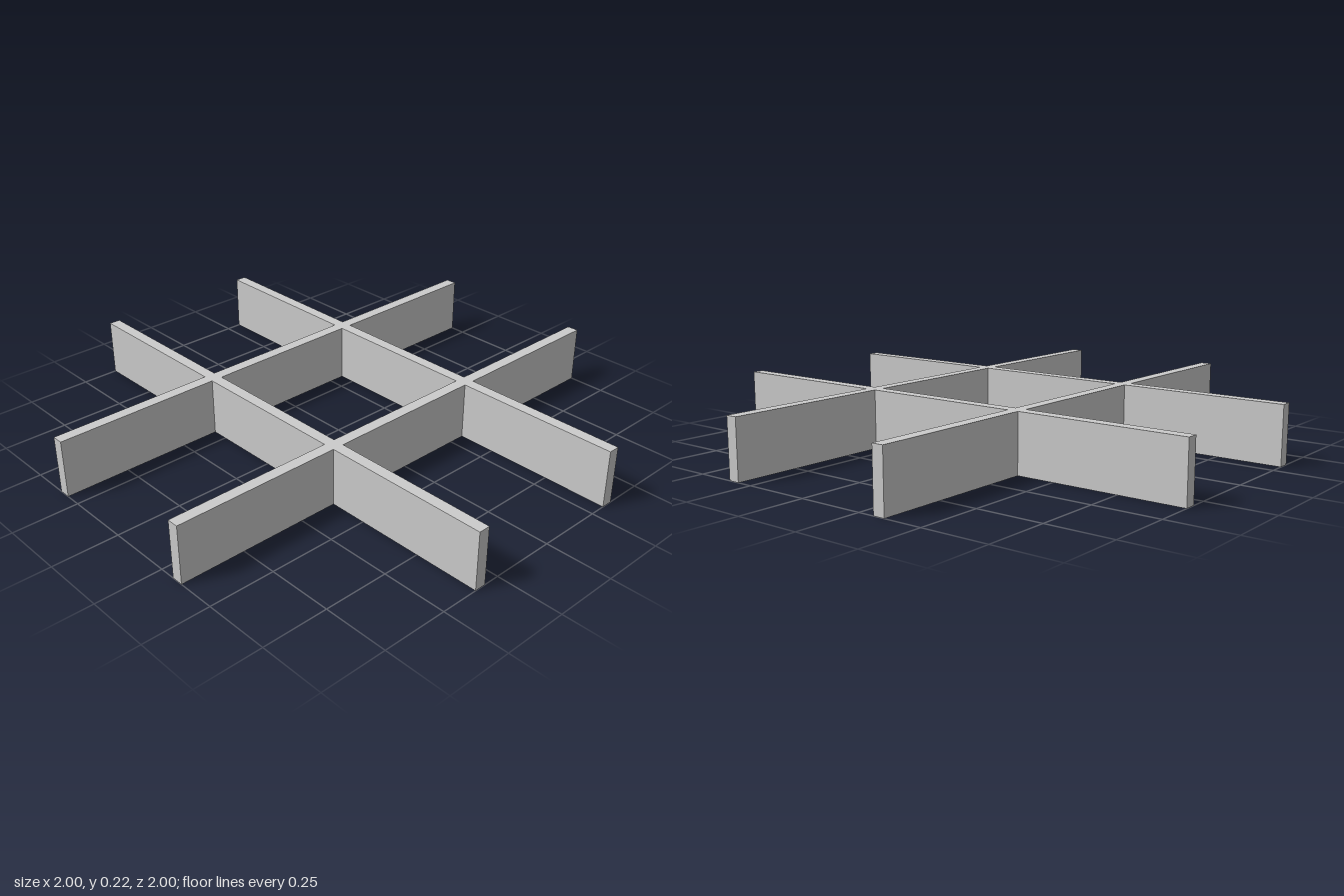
import * as THREE from 'three';

const HEIGHT = 0.222;
const INNER = 0.311; // slat face nearest the centre
const OUTER = 0.355; // slat face farthest from the centre
const REACH = 1; // slat ends

export function createModel() {
  const group = new THREE.Group();
  group.name = 'dividerGrid';

  // One side of the outline: two slat ends with a notch between, turned four times
  const side = [
    [OUTER, -OUTER], [REACH, -OUTER], [REACH, -INNER], [OUTER, -INNER],
    [OUTER, INNER], [REACH, INNER], [REACH, OUTER],
  ];
  const outline = [];
  let turned = side;
  for (let i = 0; i < 4; i++) {
    outline.push(...turned.map(([x, y]) => new THREE.Vector2(x, y)));
    turned = turned.map(([x, y]) => [-y, x]);
  }
  const shape = new THREE.Shape(outline);

  // Open centre cell
  shape.holes.push(new THREE.Path([
    new THREE.Vector2(-INNER, -INNER), new THREE.Vector2(-INNER, INNER),
    new THREE.Vector2(INNER, INNER), new THREE.Vector2(INNER, -INNER),
  ]));

  // Four interlocking slats, standing upright on the ground
  const geometry = new THREE.ExtrudeGeometry(shape, { depth: HEIGHT, bevelEnabled: false });
  geometry.rotateX(-Math.PI / 2);
  const slats = new THREE.Mesh(geometry, new THREE.MeshStandardMaterial({ color: 0xcccccc }));
  slats.name = 'crossedSlats';
  group.add(slats);
  return group;
}
